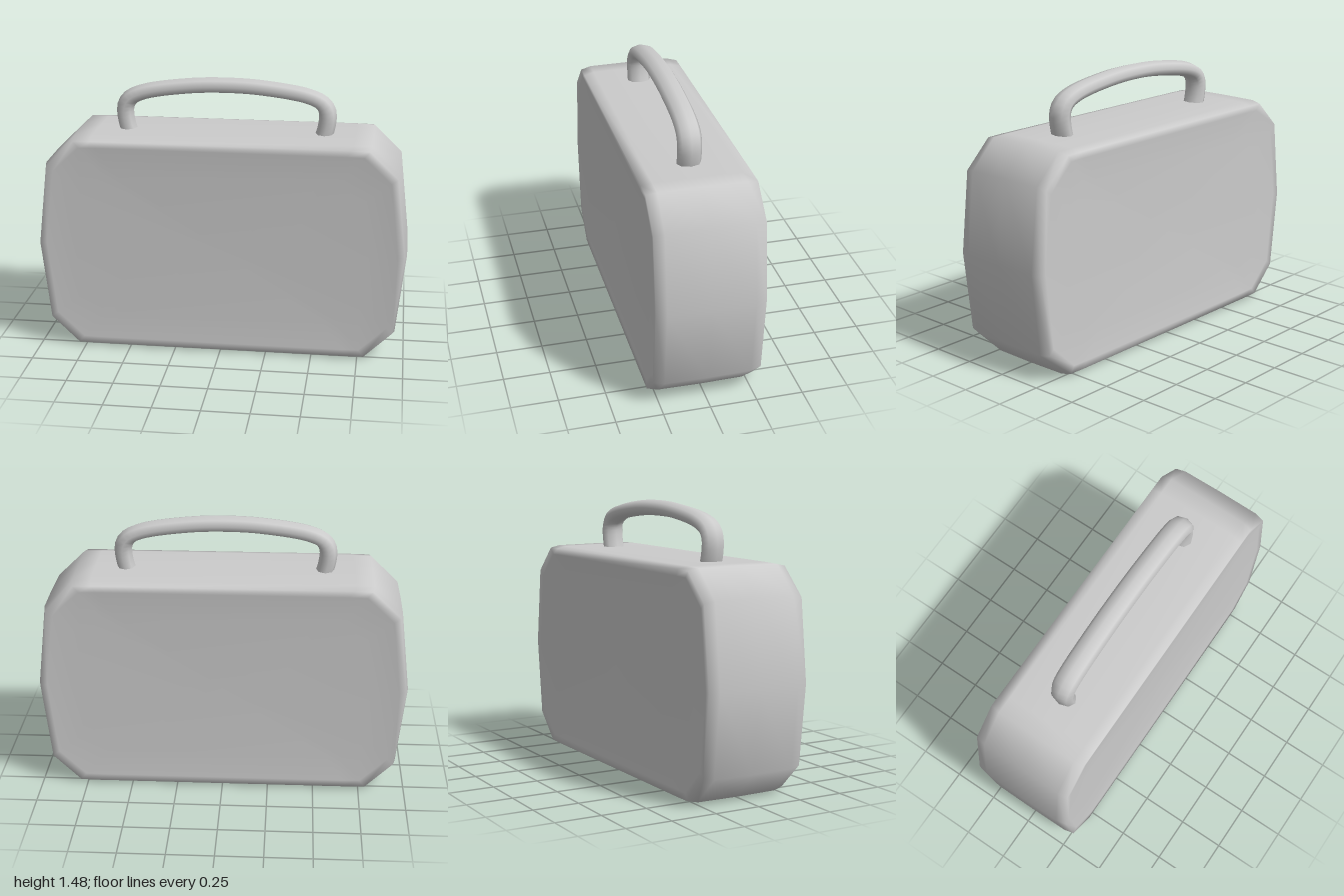
import * as THREE from 'three';
import { mergeVertices } from 'three/addons/utils/BufferGeometryUtils.js';

const material = new THREE.MeshStandardMaterial({ color: 0xcccccc });

// Smooth case shell: a chamfered outline lofted through rings from front to back
function caseGeometry() {
  const half = 0.593; // half the case height
  const quarter = [[0.7, half], [0.797, half - 0.002], [0.95, 0.442], [1, 0]];
  const upper = [...quarter.slice().reverse(), ...quarter.map(([x, y]) => [-x, y])];
  const lower = upper.slice(1, -1).map(([x, y]) => [-x, -y]);
  const outline = [...upper, ...lower]; // counter-clockwise seen from the front

  // [z, inset]: shallow dished face, softened rim, gently crowned wall
  const front = [[0.27, 1], [0.272, 0.2], [0.283, 0.05], [0.286, 0.014], [0.23, 0.002]];
  const rings = [...front, [0, 0], ...front.slice().reverse().map(([z, i]) => [-z, i])];

  const n = outline.length;
  const positions = [];
  const indices = [];
  for (const [z, inset] of rings) {
    const sx = 1 - inset;
    const sy = Math.max(0, 1 - inset / half);
    for (const [x, y] of outline) positions.push(x * sx, half + y * sy, z);
  }
  for (let r = 0; r < rings.length - 1; r++) {
    for (let i = 0; i < n; i++) {
      const a = r * n + i;
      const b = r * n + (i + 1) % n;
      const c = a + n;
      const d = b + n;
      if (r < rings.length - 2) indices.push(b, c, d);
      if (r > 0) indices.push(a, c, b);
    }
  }
  const geometry = new THREE.BufferGeometry();
  geometry.setAttribute('position', new THREE.Float32BufferAttribute(positions, 3));
  geometry.setIndex(indices);
  geometry.computeVertexNormals();
  return geometry;
}

// Arched handle: an oval tube that thickens toward its two feet
function handleGeometry() {
  const side = [[0.525, 1.15], [0.545, 1.22], [0.55, 1.3], [0.525, 1.347], [0.45, 1.384], [0.2, 1.424]];
  const path = new THREE.CatmullRomCurve3([
    ...side.map(([x, y]) => new THREE.Vector3(-x, y, 0)),
    new THREE.Vector3(0, 1.433, 0),
    ...side.slice().reverse().map(([x, y]) => new THREE.Vector3(x, y, 0)),
  ]);
  const steps = 56;
  const sides = 8;
  const tube = new THREE.TubeGeometry(path, steps, 0.0425, sides);
  const position = tube.attributes.position;
  const vertex = new THREE.Vector3();
  for (let i = 0; i < position.count; i++) {
    const centre = path.getPointAt(Math.floor(i / (sides + 1)) / steps);
    const thicken = 1 + 0.12 * THREE.MathUtils.smoothstep(Math.abs(centre.x), 0.45, 0.54);
    vertex.fromBufferAttribute(position, i).sub(centre);
    vertex.x *= thicken;
    vertex.z *= 1.52;
    vertex.add(centre);
    position.setXYZ(i, vertex.x - 0.003, vertex.y, vertex.z);
  }
  tube.deleteAttribute('uv');
  tube.deleteAttribute('normal');
  const geometry = mergeVertices(tube);
  geometry.computeVertexNormals();
  return geometry;
}

export function createModel() {
  const group = new THREE.Group();
  const add = (name, geometry) => {
    const mesh = new THREE.Mesh(geometry, material);
    mesh.name = name;
    group.add(mesh);
  };
  add('caseBody', caseGeometry());
  add('handle', handleGeometry());
  return group;
}
